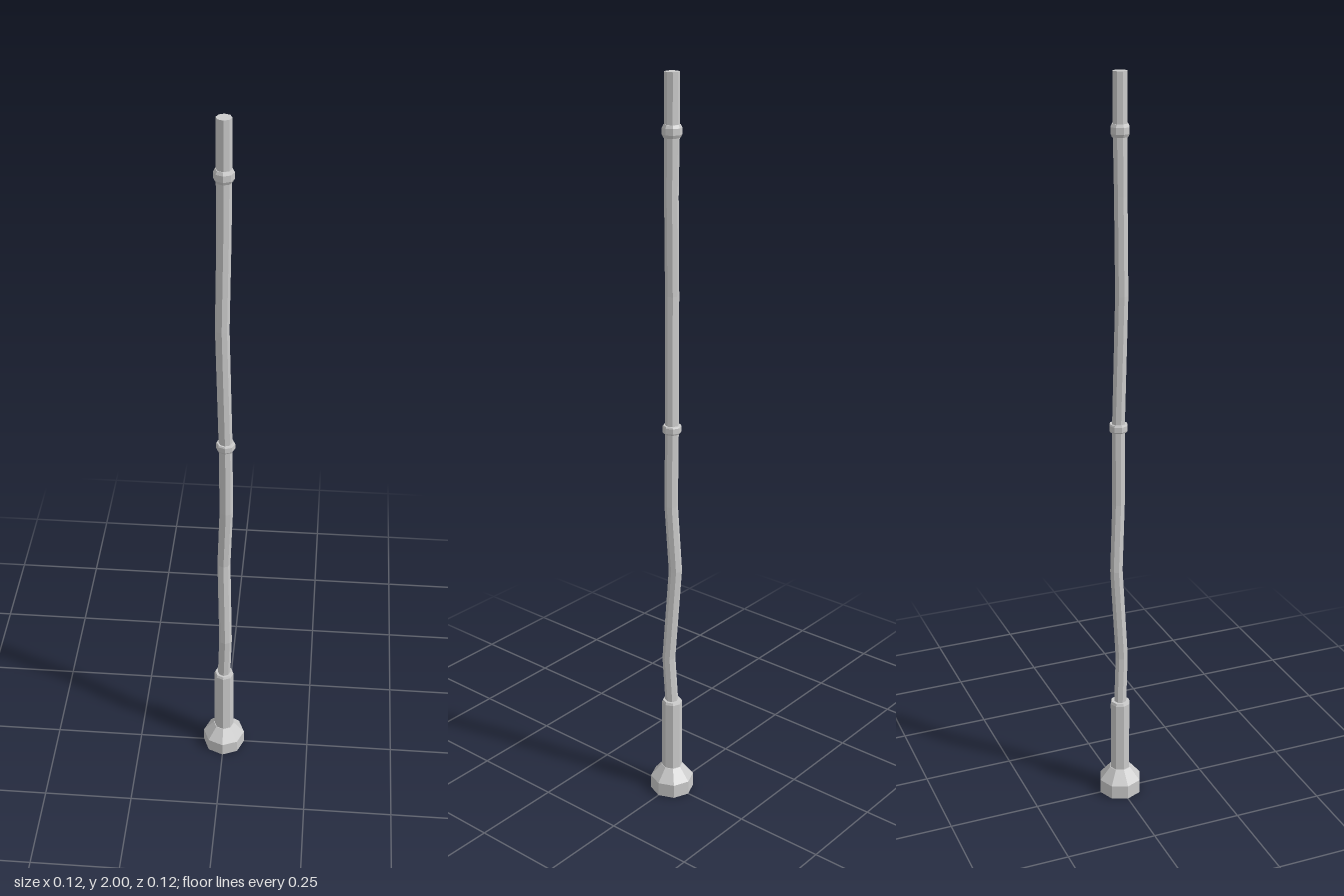
import * as THREE from 'three';

const SIDES = 8;
const material = new THREE.MeshStandardMaterial({ color: 0xcccccc, flatShading: true });

// Eight-sided turned part from [radius, height] pairs, bottom to top
function turned(name, profile, x = 0, y = 0, z = 0) {
  const points = profile.map(([r, h]) => new THREE.Vector2(r, h));
  const mesh = new THREE.Mesh(new THREE.LatheGeometry(points, SIDES), material);
  mesh.name = name;
  mesh.position.set(x, y, z);
  return mesh;
}

// Eight-sided pole whose level rings follow the given [x, y, z, radius] path
function crookedPole(name, path) {
  const rows = path.length - 1;
  const geometry = new THREE.CylinderGeometry(1, 1, 1, SIDES, rows);
  const pos = geometry.attributes.position;
  for (let i = 0; i < pos.count; i++) {
    const [x, y, z, r] = path[Math.round((pos.getY(i) + 0.5) * rows)];
    pos.setXYZ(i, x + pos.getX(i) * r, y, z + pos.getZ(i) * r);
  }
  geometry.computeVertexNormals();
  const mesh = new THREE.Mesh(geometry, material);
  mesh.name = name;
  return mesh;
}

export function createModel() {
  const model = new THREE.Group();
  model.name = 'crookedPole';

  // Flared foot
  model.add(turned('foot', [[0, 0], [0.06, 0], [0.06, 0.04], [0.03, 0.076], [0, 0.076]]));

  // Straight sleeve around the bottom of the pole
  model.add(turned('sleeve', [[0.028, 0.07], [0.028, 0.28], [0.025, 0.287], [0, 0.287]]));

  // Slightly bent pole
  model.add(crookedPole('pole', [
    [0, 0.27, 0, 0.018],
    [0.005, 0.42, 0.007, 0.018],
    [-0.001, 0.69, -0.011, 0.018],
    [0.006, 0.88, -0.002, 0.018],
    [0.004, 1.095, -0.003, 0.018],
    [-0.004, 1.45, 0.003, 0.018],
    [0, 1.7, 0.002, 0.018],
    [0, 1.86, 0, 0.019],
    [0, 2, 0, 0.019],
  ]));

  // Bevelled collars
  const collar = [[0.017, -0.016], [0.021, -0.016], [0.025, -0.008], [0.025, 0.008], [0.021, 0.016], [0.017, 0.016]];
  const flatCollar = [[0.017, -0.011], [0.023, -0.011], [0.025, -0.007], [0.025, 0.007], [0.023, 0.011], [0.017, 0.011]];
  model.add(turned('middleCollar', flatCollar, 0.004, 1.096, -0.003));
  model.add(turned('upperCollar', collar, 0, 1.86, 0));

  return model;
}
